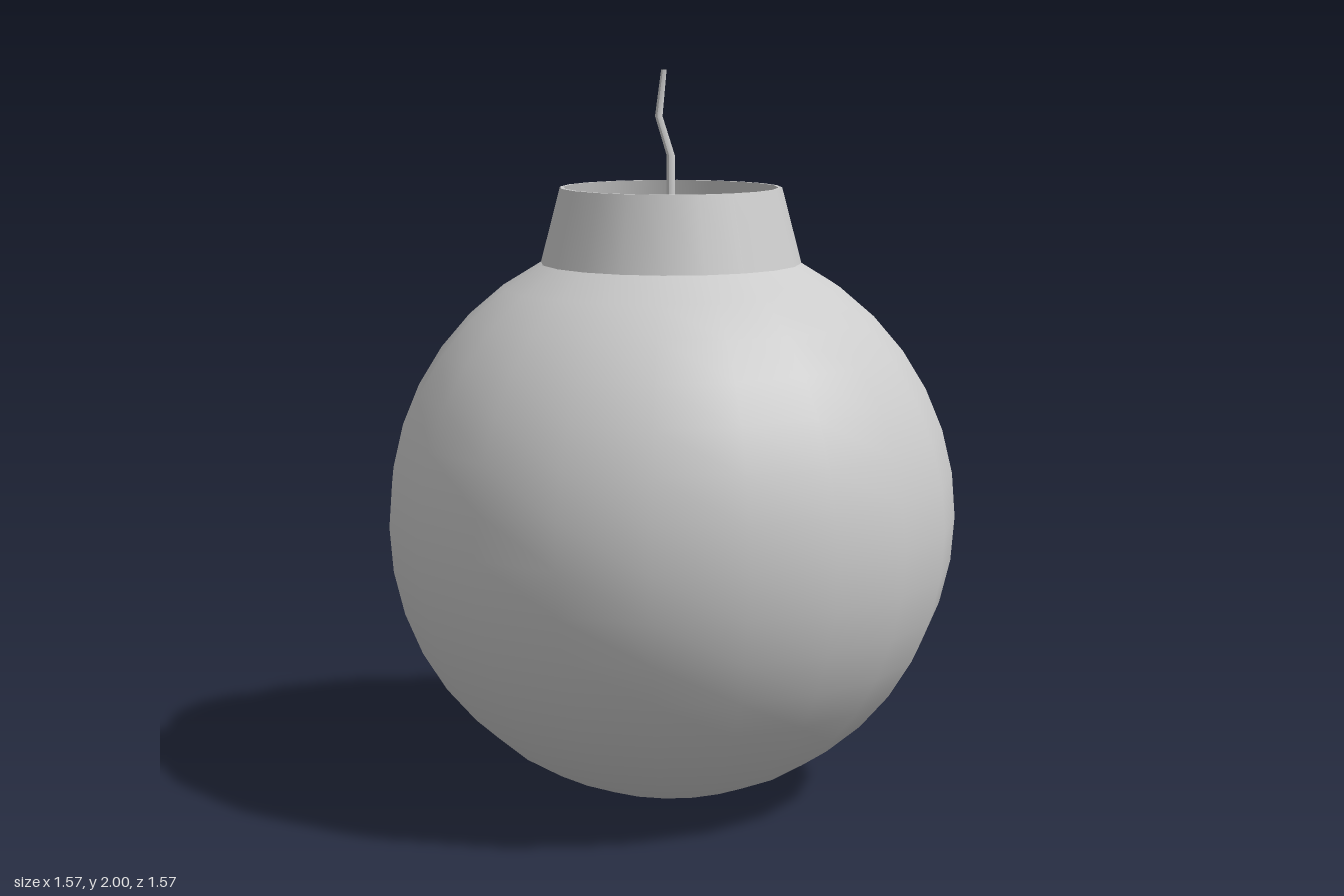
import * as THREE from 'three';

const SIDES = 20;
const R = 0.783;              // body radius, also its centre height
const STEP = Math.PI / 20;    // angle between body rings

const material = new THREE.MeshStandardMaterial({ color: 0xcccccc, side: THREE.DoubleSide });

// Smooth surface of revolution from [radius, height] pairs
function turned(name, points) {
  const profile = points.map(([r, y]) => new THREE.Vector2(r, y));
  const mesh = new THREE.Mesh(new THREE.LatheGeometry(profile, SIDES), material);
  mesh.name = name;
  return mesh;
}

export function createModel() {
  const group = new THREE.Group();
  group.name = 'roundBomb';

  // Spherical body, open at the top where the collar starts
  const arc = [];
  for (let i = 0; i <= 17; i++) {
    arc.push([R * Math.sin(i * STEP), R - R * Math.cos(i * STEP)]);
  }
  group.add(turned('body', arc));

  // Tapered collar: outer wall, thin rim and inner wall with sharp edges between
  const [neckR, neckY] = arc[17];
  const topY = 1.685, floorY = 1.59, floorR = 0.315;
  const collar = new THREE.Group();
  collar.name = 'collar';
  collar.add(
    turned('collarOuterWall', [[neckR, neckY], [0.302, topY]]),
    turned('collarRim', [[0.302, topY], [0.292, topY]]),
    turned('collarInnerWall', [[0.292, topY], [floorR, floorY]])
  );
  group.add(collar);

  // Shallow dome closing the collar
  const dome = [];
  for (let i = 0; i <= 3; i++) {
    const t = 1 - i / 3;
    dome.push([floorR * t, floorY + 0.052 * (1 - t * t)]);
  }
  group.add(turned('collarFloor', dome));

  // Bent fuse: a cylinder whose rings follow [x, y, radius], from top to bottom
  const rings = [[-0.02, 2, 0.008], [-0.035, 1.875, 0.011], [0, 1.77, 0.012], [0, 1.635, 0.012]];
  const geometry = new THREE.CylinderGeometry(1, 1, 3, 8, 3);
  const position = geometry.attributes.position;
  for (let i = 0; i < position.count; i++) {
    const [x, y, r] = rings[Math.round(1.5 - position.getY(i))];
    position.setXYZ(i, x + r * position.getX(i), y, r * position.getZ(i));
  }
  geometry.computeVertexNormals();
  const fuse = new THREE.Mesh(geometry, material);
  fuse.name = 'fuse';
  group.add(fuse);

  return group;
}
